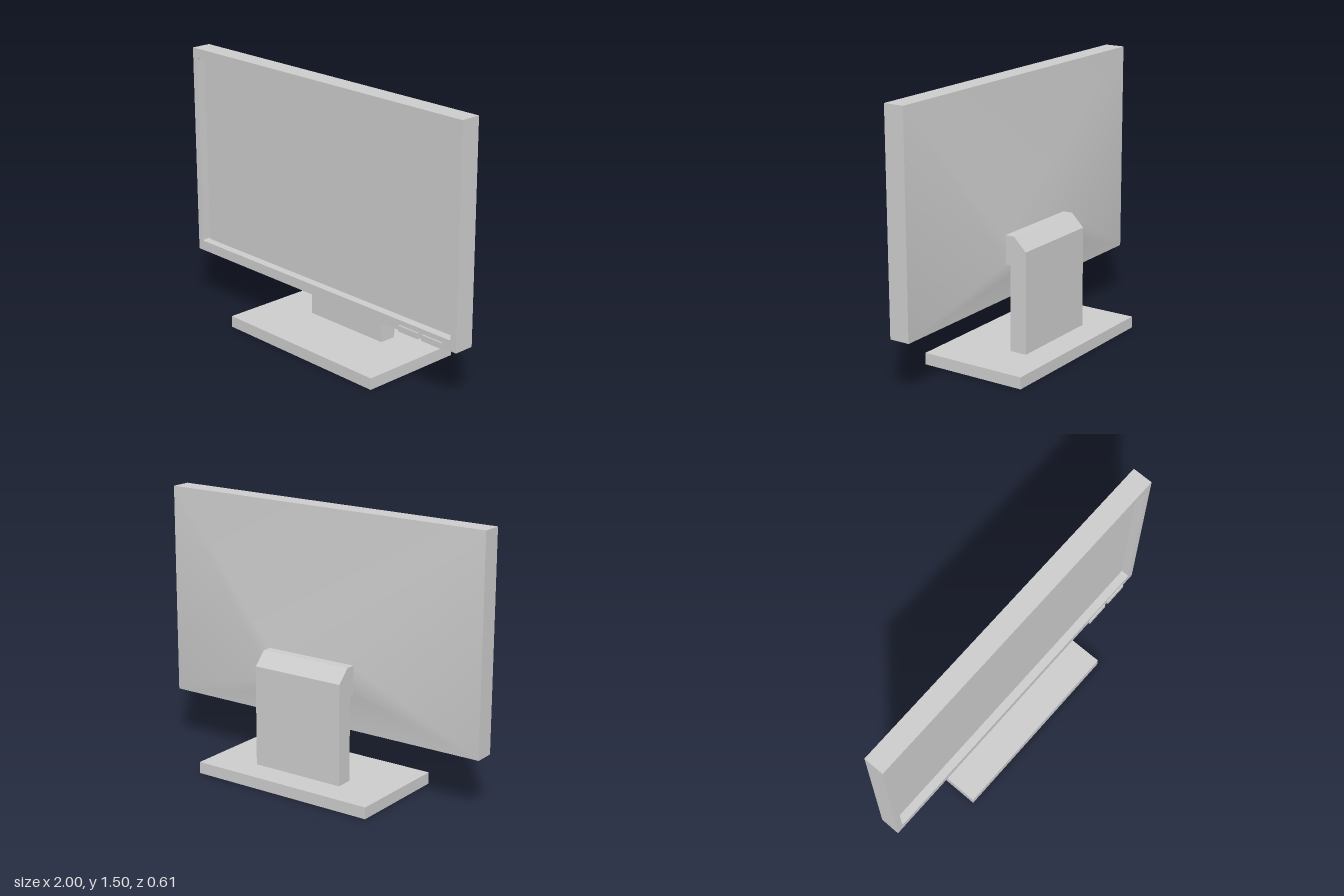
import * as THREE from 'three';

const material = new THREE.MeshStandardMaterial({ color: 0xcccccc });

function add(group, name, geometry) {
  const mesh = new THREE.Mesh(geometry, material);
  mesh.name = name;
  group.add(mesh);
  return mesh;
}

// Box given by its minimum and maximum corners
function box([x0, y0, z0], [x1, y1, z1]) {
  return new THREE.BoxGeometry(x1 - x0, y1 - y0, z1 - z0)
    .translate((x0 + x1) / 2, (y0 + y1) / 2, (z0 + z1) / 2);
}

// Rectangle with small rounded corners, for the screen opening
function roundedRect(path, x0, y0, x1, y1, r) {
  path.moveTo(x0 + r, y0);
  path.lineTo(x1 - r, y0).quadraticCurveTo(x1, y0, x1, y0 + r);
  path.lineTo(x1, y1 - r).quadraticCurveTo(x1, y1, x1 - r, y1);
  path.lineTo(x0 + r, y1).quadraticCurveTo(x0, y1, x0, y1 - r);
  path.lineTo(x0, y0 + r).quadraticCurveTo(x0, y0, x0 + r, y0);
  return path;
}

// Shallow pyramid tapering from the panel's back edge to the mount
function backShellGeometry() {
  const rect = (w, y0, y1, z) => [-w, y0, z, w, y0, z, w, y1, z, -w, y1, z];
  const positions = [...rect(1, 0.31, 1.5, 0.05), ...rect(0.275, 0.54, 0.69, -0.022)];
  const index = [4, 6, 5, 4, 7, 6];
  for (let i = 0; i < 4; i++) {
    const j = (i + 1) % 4;
    index.push(i, i + 4, j, j, i + 4, j + 4);
  }
  const geometry = new THREE.BufferGeometry();
  geometry.setAttribute('position', new THREE.Float32BufferAttribute(positions, 3));
  geometry.setIndex(index);
  geometry.computeVertexNormals();
  return geometry;
}

export function createModel() {
  const model = new THREE.Group();
  model.name = 'monitor';

  // Display: bezel frame, recessed screen and tapered back
  const display = new THREE.Group();
  display.name = 'display';
  model.add(display);

  const outline = new THREE.Shape([[-1, 0.31], [1, 0.31], [1, 1.5], [-1, 1.5]]
    .map(([x, y]) => new THREE.Vector2(x, y)));
  outline.holes.push(roundedRect(new THREE.Path(), -0.96, 0.367, 0.96, 1.445, 0.01));
  add(display, 'bezel', new THREE.ExtrudeGeometry(outline,
    { depth: 0.115, bevelEnabled: false, curveSegments: 3 }).translate(0, 0, 0.05));
  add(display, 'screen', box([-0.96, 0.367, 0.055], [0.96, 1.445, 0.117]));
  add(display, 'backShell', backShellGeometry());

  // Control buttons along the lower front edge
  for (const x of [0.612, 0.773]) {
    add(display, 'button', box([x, 0.307, 0.145], [x + 0.136, 0.34, 0.174]));
  }

  // Stand: side profile (z, y) extruded across the width, on a flat base
  const profile = new THREE.Shape([
    [-0.02, 0.54], [-0.02, 0.70], [-0.075, 0.70], [-0.148, 0.627],
    [-0.148, 0.065], [-0.05, 0.065], [-0.05, 0.54],
  ].map(([z, y]) => new THREE.Vector2(-z, y)));
  add(model, 'standNeck', new THREE.ExtrudeGeometry(profile,
    { depth: 0.55, bevelEnabled: false }).translate(0, 0, -0.275).rotateY(Math.PI / 2));
  add(model, 'standBase', box([-0.55, 0, -0.305], [0.55, 0.065, 0.305]));

  return model;
}
